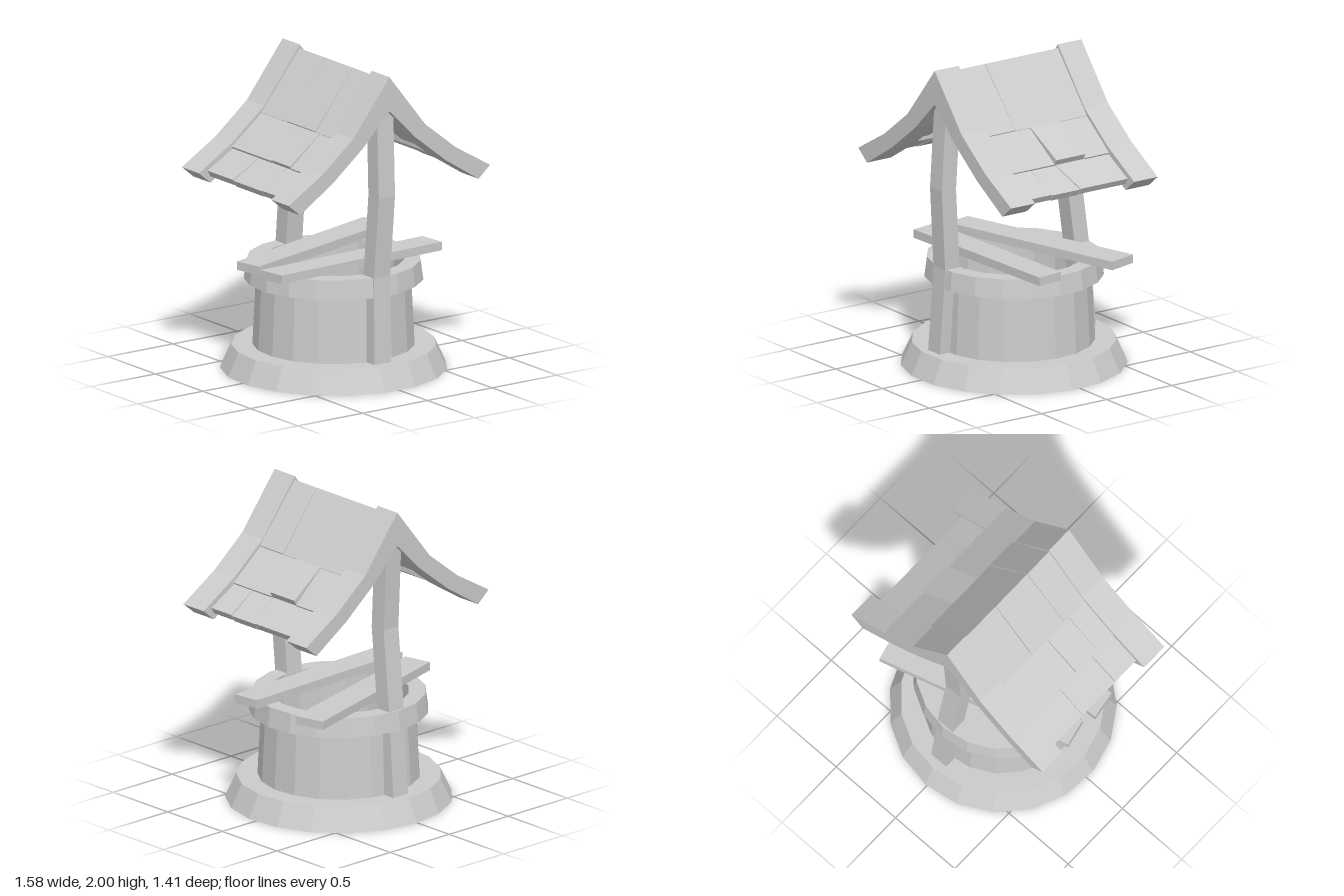
import * as THREE from 'three';

const material = new THREE.MeshStandardMaterial({ color: 0xcccccc, flatShading: true, side: THREE.DoubleSide });
const SIDES = 19;

function add(parent, name, geometry) {
  const mesh = new THREE.Mesh(geometry, material);
  mesh.name = name;
  parent.add(mesh);
  return mesh;
}

// Faceted ring turned from a profile of [radius, height] pairs
function ring(profile) {
  const points = profile.map(([r, y]) => new THREE.Vector2(r, y));
  return new THREE.LatheGeometry(points, SIDES, Math.PI).translate(0.01, 0, 0);
}

// Solid skinned over four-cornered cross-sections, each a loop of [x, y, z]
function loft(sections) {
  const index = [];
  const last = (sections.length - 1) * 4;
  for (let s = 0; s < last; s += 4) {
    for (let i = 0; i < 4; i++) {
      const a = s + i, b = s + (i + 1) % 4;
      index.push(a, b, b + 4, a, b + 4, a + 4);
    }
  }
  index.push(0, 2, 1, 0, 3, 2, last, last + 1, last + 2, last, last + 2, last + 3);
  const g = new THREE.BufferGeometry();
  g.setAttribute('position', new THREE.Float32BufferAttribute(sections.flat(2), 3));
  g.setIndex(index);
  g.computeVertexNormals();
  return g;
}

// Bent post through centres [x, y, z]
function post(path) {
  const w = 0.0625, d = 0.055;
  return loft(path.map(([x, y, z]) => [
    [x - w, y, z + d], [x + w, y, z + d], [x + w, y, z - d], [x - w, y, z - d],
  ]));
}

// Flat board lying on the collar, from four [x, z] corners (front left, front right, back right, back left)
function board(corners) {
  return loft([0.7, 0.755].map((y) => corners.map(([x, z]) => [x, y, z])));
}

// Roof frame: bent chevron, slightly skewed in plan
function rafter(zBack, zFront) {
  const outer = [[0.79, 1.3], [0.52, 1.46], [0.28, 1.65], [0, 2]];
  const inner = [[0, 1.78], [0.2, 1.58], [0.44, 1.39], [0.7, 1.225]];
  const mirror = (list) => list.slice(0, -1).reverse().map(([x, y]) => [-x, y]);
  const left = mirror(outer);
  const under = inner.slice(1).reverse().map(([x, y]) => [-x, y]);
  const points = [...outer, ...left, ...under, ...inner].map(([x, y]) => new THREE.Vector2(x, y));
  const g = new THREE.ExtrudeGeometry(new THREE.Shape(points), { depth: zFront - zBack, bevelEnabled: false });
  g.translate(0, 0, zBack);
  const p = g.attributes.position;
  for (let i = 0; i < p.count; i++) p.setZ(i, p.getZ(i) - 0.022 * p.getX(i));
  g.computeVertexNormals();
  return g;
}

// Roof rows: upper and lower edge of the top surface as [x, y]
const rows = [
  { top: [0, 1.975], low: [0.3, 1.61] },
  { top: [0.27, 1.63], low: [0.53, 1.425] },
  { top: [0.49, 1.435], low: [0.72, 1.3] },
];
// Per side and row: seams between shingles as [z at upper edge, z at lower edge], and lift of each shingle
const slopes = [
  { side: 1, rows: [
    { seams: [[0.215, 0.195]], lift: [0, 0.004] },
    { seams: [[-0.14, -0.168], [0.085, 0.058]], lift: [0, 0.03, 0] },
    { seams: [[0.06, 0], [0.24, 0.215]], lift: [0.004, 0, 0.006] },
  ] },
  { side: -1, rows: [
    { seams: [[-0.075, -0.065], [0.215, 0.232]], lift: [0, 0.006, 0] },
    { seams: [[0.075, 0.085], [0.275, 0.283]], lift: [0.004, 0.012, 0] },
    { seams: [[-0.06, -0.06], [0.235, 0.24]], lift: [0.006, 0, 0.004] },
  ] },
];

function shingle(side, row, back, front, lift) {
  const [ax, ay] = row.top, [bx, by] = row.low;
  const y = by + lift, x = bx + lift * 0.4;
  const section = ([za, zb]) => [
    [side * ax, ay, za], [side * ax, ay - 0.06, za],
    [side * (x - 0.022), y - 0.04, zb], [side * x, y, zb],
  ];
  return loft(side > 0 ? [section(back), section(front)] : [section(front), section(back)]);
}

export function createModel() {
  const model = new THREE.Group();
  model.name = 'well';

  // Stonework
  add(model, 'baseStep', ring([[0.71, 0], [0.64, 0.15], [0.46, 0.15]]));
  add(model, 'wall', ring([[0.45, 0.1], [0.51, 0.1], [0.485, 0.6], [0.44, 0.6], [0.45, 0.1]]));
  add(model, 'collar', ring([[0.44, 0.575], [0.562, 0.575], [0.545, 0.7], [0.44, 0.7], [0.44, 0.575]]));
  const floor = add(model, 'floor', new THREE.CircleGeometry(0.455, SIDES).rotateX(-Math.PI / 2));
  floor.position.set(0.01, 0.15, 0);

  // Posts
  add(model, 'frontPost', post([[-0.037, 0.13, 0.525], [-0.02, 0.7, 0.495], [-0.008, 1.22, 0.53], [0, 1.8, 0.5]]));
  add(model, 'backPost', post([[0.022, 0.13, -0.525], [0.012, 0.7, -0.475], [0, 1.22, -0.412], [0, 1.8, -0.44]]));

  // Loose boards across the opening
  add(model, 'frontBoard', board([[-0.62, 0.315], [0.65, 0.265], [0.63, 0.085], [-0.65, 0.13]]));
  add(model, 'backBoard', board([[-0.61, 0.06], [0.65, -0.295], [0.6, -0.49], [-0.65, -0.12]]));

  // Roof
  const roof = new THREE.Group();
  roof.name = 'roof';
  model.add(roof);
  add(roof, 'frontRafter', rafter(0.415, 0.6));
  add(roof, 'backRafter', rafter(-0.525, -0.345));
  for (const { side, rows: plan } of slopes) {
    plan.forEach(({ seams, lift }, r) => {
      const gap = 0.002;
      const edges = [[-0.37, -0.37], ...seams, [0.44, 0.44]];
      lift.forEach((h, i) => {
        const back = edges[i].map((z) => z + gap);
        const front = edges[i + 1].map((z) => z - gap);
        add(roof, 'shingle', shingle(side, rows[r], back, front, h));
      });
    });
  }
  return model;
}
